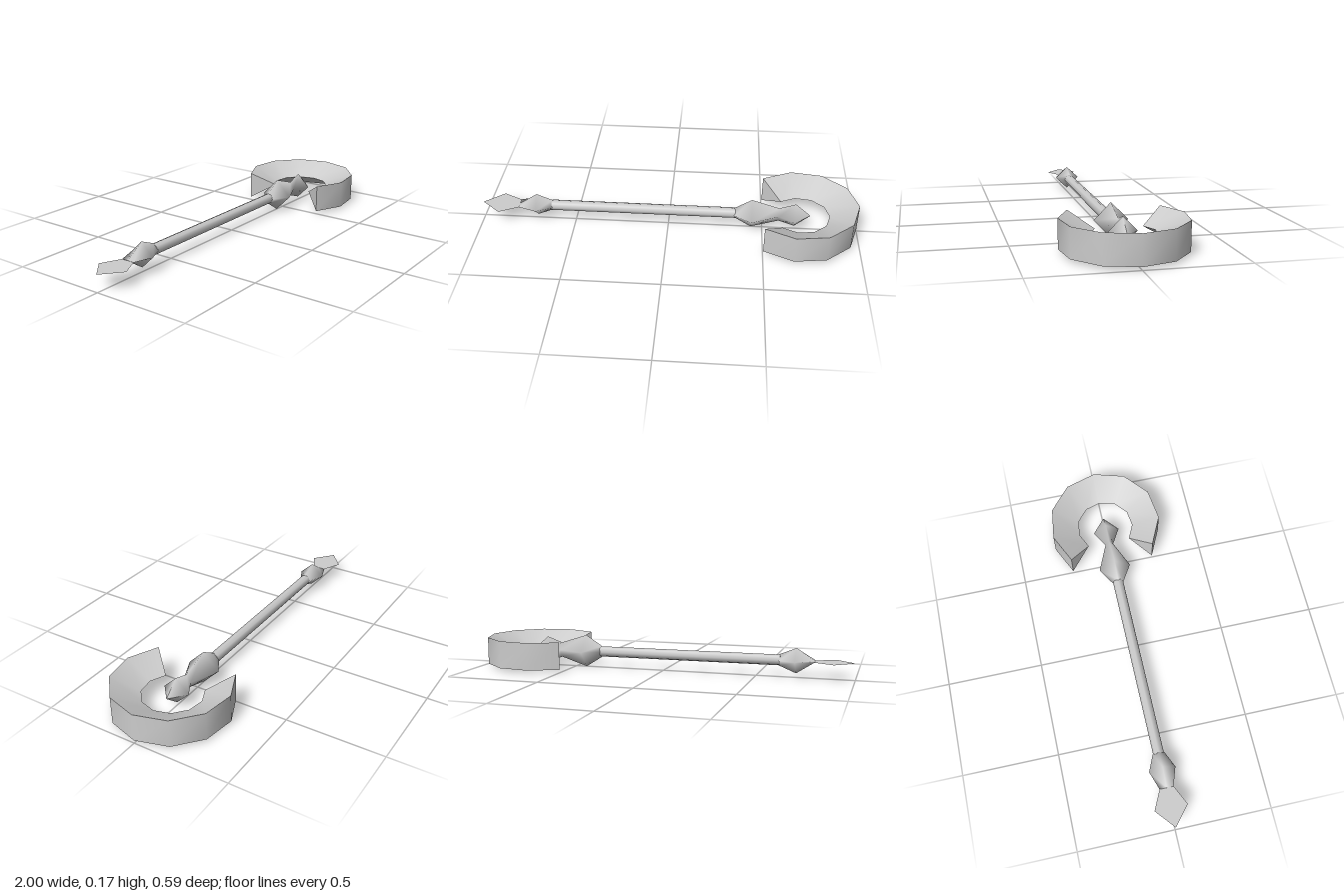
import * as THREE from 'three';
import { toCreasedNormals } from 'three/addons/utils/BufferGeometryUtils.js';

const CY = 0.0875; // height of the staff axis

// Skin a list of equal-length cross-sections; optionally close both ends
function loft(sections, capped) {
  const n = sections[0].length, last = (sections.length - 1) * n;
  const index = [];
  for (let i = 0; i < sections.length - 1; i++) {
    for (let j = 0; j < n; j++) {
      const a = i * n + j, b = i * n + (j + 1) % n;
      index.push(a, b, a + n, b, b + n, a + n);
    }
  }
  if (capped) {
    for (let j = 1; j < n - 1; j++) {
      index.push(0, j + 1, j, last, last + j, last + j + 1);
    }
  }
  const g = new THREE.BufferGeometry();
  g.setAttribute('position', new THREE.Float32BufferAttribute(sections.flat(2), 3));
  g.setIndex(index);
  g.computeVertexNormals();
  return g;
}

// Four-sided spindle along x from rows of [x, half height, half depth]
function spindle(rows) {
  return loft(rows.map(([x, ry, rz]) => [0, 1, 2, 3].map((k) => {
    const a = k * Math.PI / 2;
    return [x, CY + ry * Math.cos(a), rz * Math.sin(a)];
  })), false);
}

export function createModel() {
  const group = new THREE.Group();
  const metal = new THREE.MeshStandardMaterial({ color: 0xcccccc, side: THREE.DoubleSide });
  metal.name = 'grey metal';
  const add = (name, geometry) => {
    const mesh = new THREE.Mesh(geometry, metal);
    mesh.name = name;
    group.add(mesh);
  };

  // Round shaft
  const shaft = new THREE.CylinderGeometry(0.028, 0.028, 0.98, 8);
  shaft.rotateZ(-Math.PI / 2).translate(-0.135, CY, 0);
  add('shaft', shaft);

  // Head: large bulb, narrow neck, pointed small bulb
  add('headSpindle', spindle([
    [0.35, 0.03, 0.03], [0.44, 0.0865, 0.085], [0.585, 0.04, 0.022],
    [0.67, 0.07, 0.07], [0.75, 0.001, 0.001],
  ]));

  // Tail bulb, flattening into the blade
  add('tailBulb', spindle([
    [-0.8, 0.001, 0.036], [-0.705, 0.065, 0.068], [-0.62, 0.03, 0.03],
  ]));

  // Flat tail blade
  const outline = [[-0.8, 0.036], [-0.9, 0.085], [-1, 0], [-0.9, -0.085], [-0.8, -0.036]];
  const blade = new THREE.ShapeGeometry(
    new THREE.Shape(outline.map(([x, z]) => new THREE.Vector2(x, z))));
  blade.rotateX(-Math.PI / 2).translate(0, CY, 0);
  add('tailBlade', blade);

  // Open ring with a wedge section, thin towards the inside
  const sections = [];
  for (let i = 0; i <= 8; i++) {
    const t = THREE.MathUtils.degToRad((i - 4) * 32.8);
    const at = (r, y) => [0.7 + r * Math.cos(t), y, r * Math.sin(t)];
    sections.push([at(0.3, 0.016), at(0.3, 0.161), at(0.152, 0.0885)]);
  }
  add('crescentRing', toCreasedNormals(loft(sections, true), 0.9));

  return group;
}
